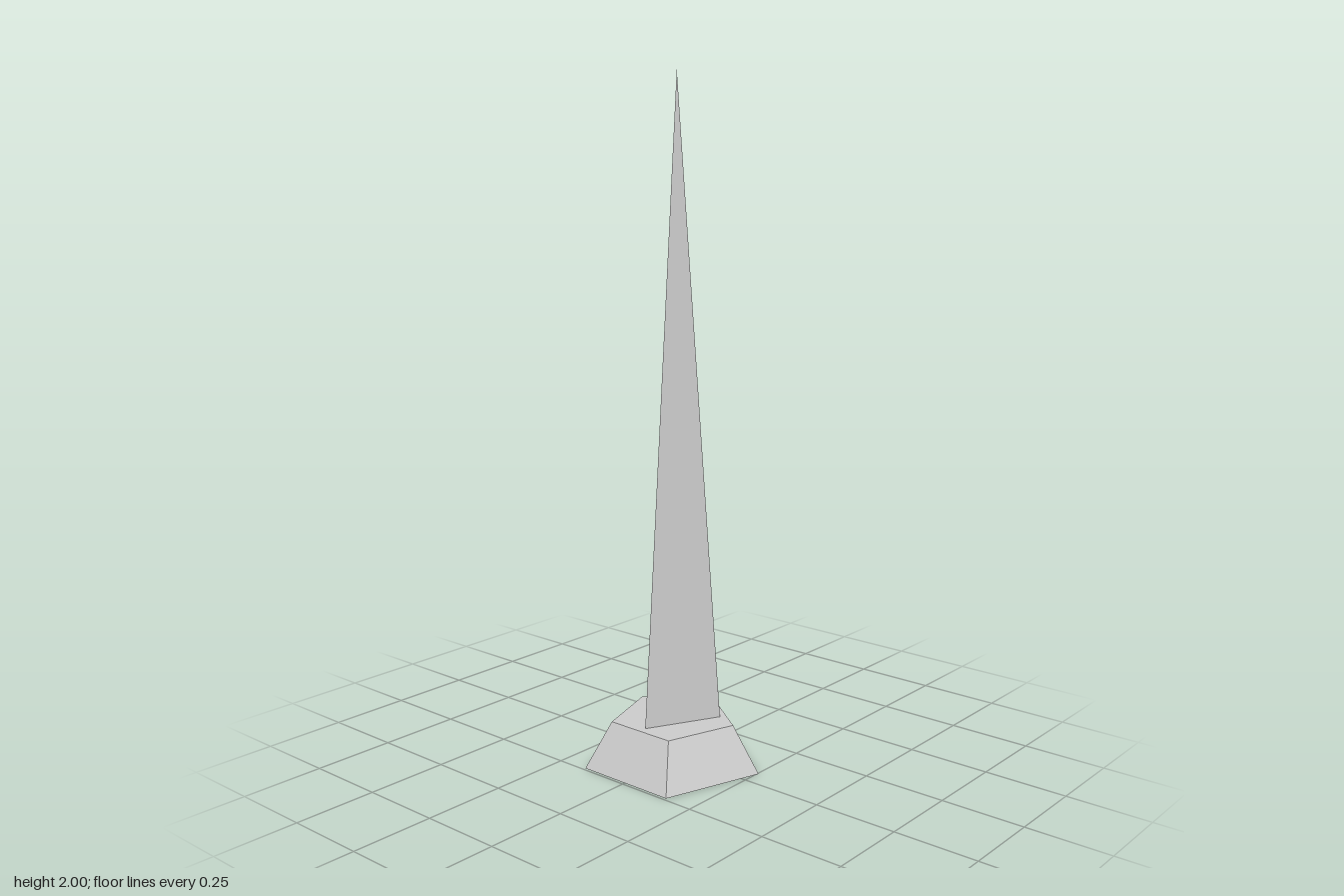
import * as THREE from 'three';

const BASE_HEIGHT = 0.137;
const HEIGHT = 2;

export function createModel() {
  const group = new THREE.Group();
  const material = new THREE.MeshStandardMaterial({
    color: 0xcccccc,
    flatShading: true,
    side: THREE.DoubleSide,
  });

  // Hollow five-sided pedestal: sloping walls and a flat top, open underneath
  const profile = [
    new THREE.Vector2(0.267, 0),
    new THREE.Vector2(0.187, BASE_HEIGHT),
    new THREE.Vector2(0, BASE_HEIGHT),
  ];
  const pedestal = new THREE.Mesh(new THREE.LatheGeometry(profile, 5, Math.PI), material);
  pedestal.name = 'pedestal';
  pedestal.position.z = 0.025;
  group.add(pedestal);

  // Tall three-sided spike with one edge to the front, slightly narrowed in x
  const spikeHeight = HEIGHT - BASE_HEIGHT;
  const spikeGeometry = new THREE.ConeGeometry(0.141, spikeHeight, 3, 1, true);
  spikeGeometry.scale(0.876, 1, 1);
  const spike = new THREE.Mesh(spikeGeometry, material);
  spike.name = 'spike';
  spike.position.set(0, BASE_HEIGHT + spikeHeight / 2, 0.011);
  group.add(spike);

  return group;
}
